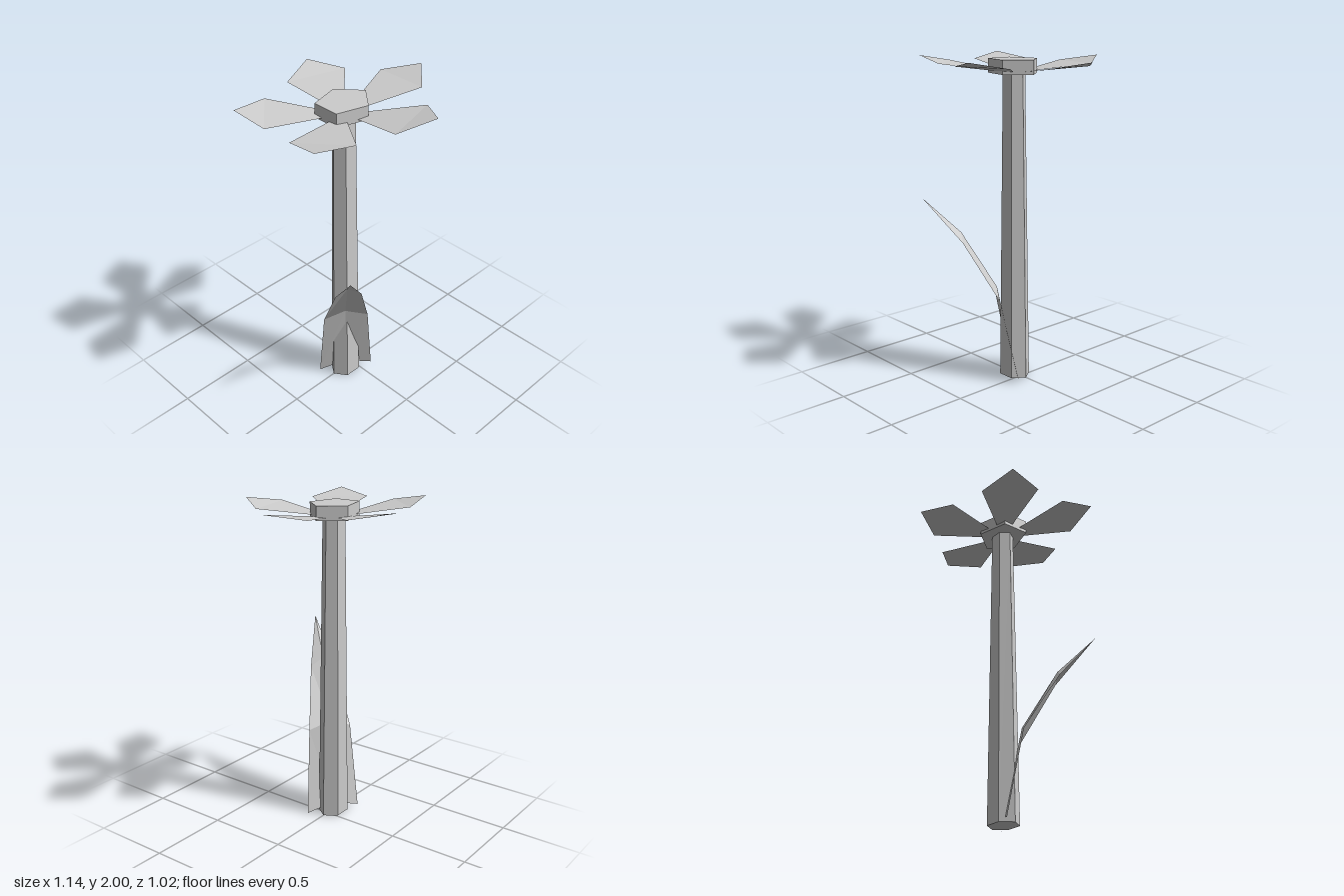
import * as THREE from 'three';

const CENTRE_X = -0.063; // stem axis
const DEPTH = 0.85;      // flower and stem are slightly squashed front to back

const grey = new THREE.MeshStandardMaterial({ color: 0xcccccc, flatShading: true, side: THREE.DoubleSide });
grey.name = 'plain grey';

function addMesh(parent, name, geometry) {
  const mesh = new THREE.Mesh(geometry, grey);
  mesh.name = name;
  parent.add(mesh);
  return mesh;
}

// Thin surface from corner points and triangles
function surface(points, triangles) {
  const geometry = new THREE.BufferGeometry();
  geometry.setAttribute('position', new THREE.Float32BufferAttribute(points.flat(), 3));
  geometry.setIndex(triangles.flat());
  const flat = geometry.toNonIndexed();
  flat.computeVertexNormals();
  return flat;
}

// Prism with a corner pointing to +x
function prism(topRadius, bottomRadius, bottom, top, sides, depth) {
  const geometry = new THREE.CylinderGeometry(topRadius, bottomRadius, top - bottom, sides, 1, false, Math.PI / 2);
  return geometry.scale(1, 1, depth).translate(CENTRE_X, (top + bottom) / 2, 0);
}

// Kite-shaped petal pointing to +x, creased across its shoulders
function petalGeometry() {
  return surface(
    [[0.09, 1.917, 0.038], [0.09, 1.917, -0.038], [0.458, 1.963, 0.19], [0.458, 1.963, -0.19], [0.628, 2, 0]],
    [[0, 2, 1], [1, 2, 3], [2, 4, 3]]
  );
}

// Folded leaf: each cross-section runs left edge, raised midrib, right edge
function leafGeometry() {
  const sections = [
    [[-0.21, 0.003, -0.09], [-0.063, 0.05, 0.0], [0.085, 0.003, 0.095]],
    [[-0.25, 0.53, 0.005], [-0.138, 0.58, 0.08], [-0.02, 0.53, 0.16]],
    [[-0.345, 0.89, 0.21], [-0.28, 0.935, 0.245], [-0.208, 0.885, 0.29]]
  ];
  const tip = [-0.432, 1.155, 0.425];
  const triangles = [];
  for (let s = 0; s < 2; s++) {
    for (let i = 0; i < 2; i++) {
      const a = s * 3 + i;
      triangles.push([a, a + 1, a + 4], [a, a + 4, a + 3]);
    }
  }
  triangles.push([6, 7, 9], [7, 8, 9]);
  return surface([...sections.flat(), tip], triangles);
}

export function createModel() {
  const flower = new THREE.Group();
  flower.name = 'flower';

  // Tapered six-sided stem and five-sided flower centre
  addMesh(flower, 'stem', prism(0.077, 0.107, 0, 1.91, 6, 0.82));
  addMesh(flower, 'flowerCentre', prism(0.17, 0.17, 1.905, 1.99, 5, DEPTH));

  // Ring of five petals
  const petals = new THREE.Group();
  petals.name = 'petals';
  for (let i = 0; i < 5; i++) {
    const geometry = petalGeometry().rotateY(i * Math.PI * 2 / 5).scale(1, 1, DEPTH).translate(CENTRE_X, 0, 0);
    geometry.computeVertexNormals();
    addMesh(petals, 'petal', geometry);
  }
  flower.add(petals);

  addMesh(flower, 'leaf', leafGeometry());
  return flower;
}
